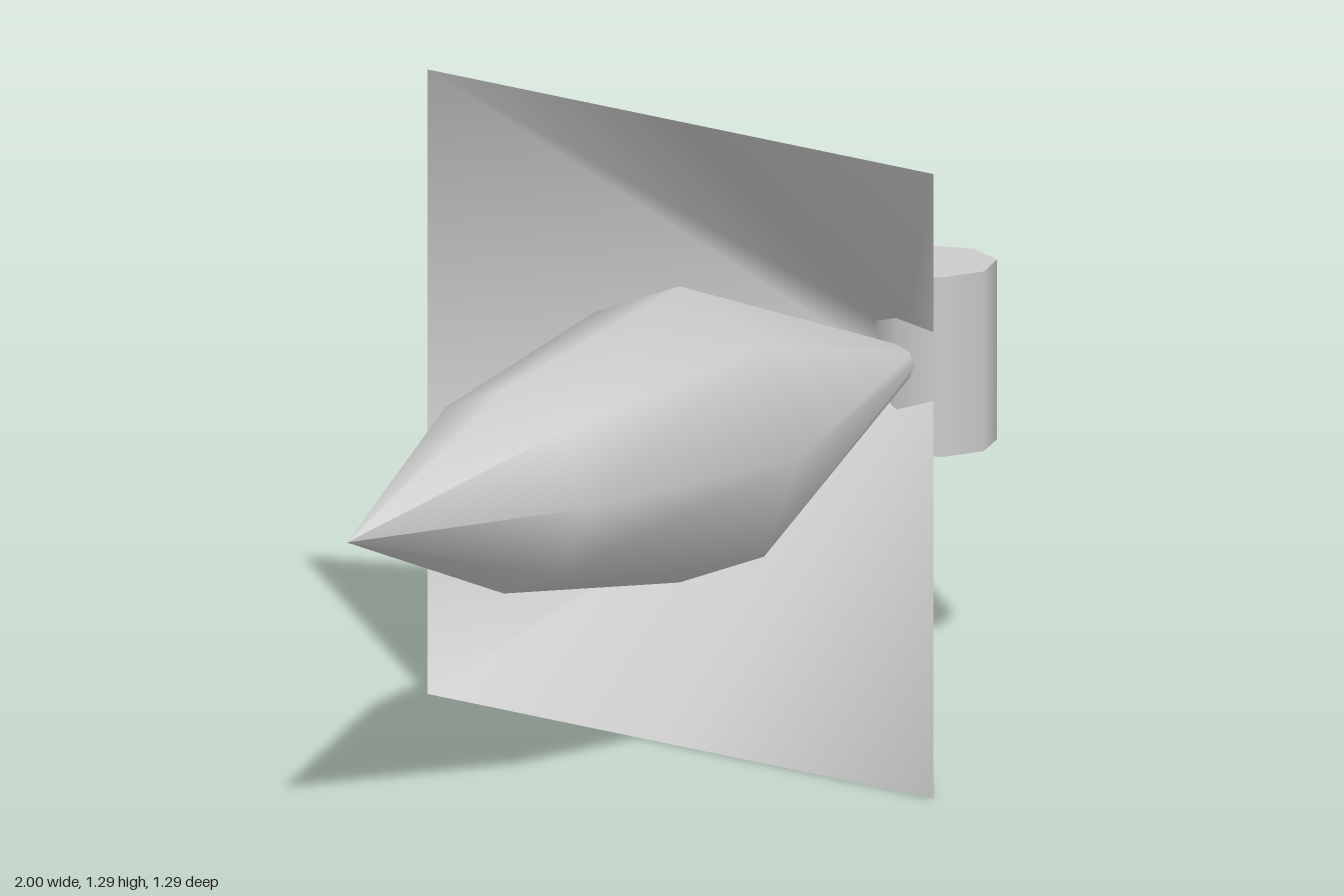
import * as THREE from 'three';

const AXIS_Y = 0.643;

// Open square funnel along x: rings of eight points (corners and edge midpoints)
function squareFunnel(stations) {
  const square = [[1, 0], [1, 1], [0, 1], [-1, 1], [-1, 0], [-1, -1], [0, -1], [1, -1]];
  const n = square.length;
  const positions = [];
  const index = [];
  for (const [x, half] of stations) {
    for (const [y, z] of square) positions.push(x, y * half, z * half);
  }
  for (let s = 0; s < stations.length - 1; s++) {
    for (let i = 0; i < n; i++) {
      const a = s * n + i;
      const b = s * n + (i + 1) % n;
      index.push(a, b, a + n, b, b + n, a + n);
    }
  }
  const geometry = new THREE.BufferGeometry();
  geometry.setAttribute('position', new THREE.Float32BufferAttribute(positions, 3));
  geometry.setIndex(index);
  geometry.computeVertexNormals();
  return geometry;
}

export function createModel() {
  const group = new THREE.Group();
  const material = new THREE.MeshStandardMaterial({ color: 0xcccccc });
  const thin = new THREE.MeshStandardMaterial({ color: 0xcccccc, side: THREE.DoubleSide });

  const add = (name, geometry, mat, x) => {
    const mesh = new THREE.Mesh(geometry, mat);
    mesh.name = name;
    mesh.position.set(x, AXIS_Y, 0);
    group.add(mesh);
    return mesh;
  };

  // Eight-sided pointed body, widest at the funnel mouth and tapering inside it
  const profile = [[0, -1], [0.21, -0.5], [0.305, 0.06], [0.03, 0.78], [0, 0.78]]
    .map(([r, x]) => new THREE.Vector2(r, x));
  const body = add('body', new THREE.LatheGeometry(profile, 8), material, 0);
  body.rotation.z = -Math.PI / 2;

  // Hollow square funnel, open towards the pointed end
  add('funnel', squareFunnel([[0.064, 0.643], [0.78, 0.072]]), thin, 0);

  // Upright eight-sided post at the narrow end
  add('endPost', new THREE.CylinderGeometry(0.124, 0.124, 0.37, 8), material, 0.876);

  return group;
}
